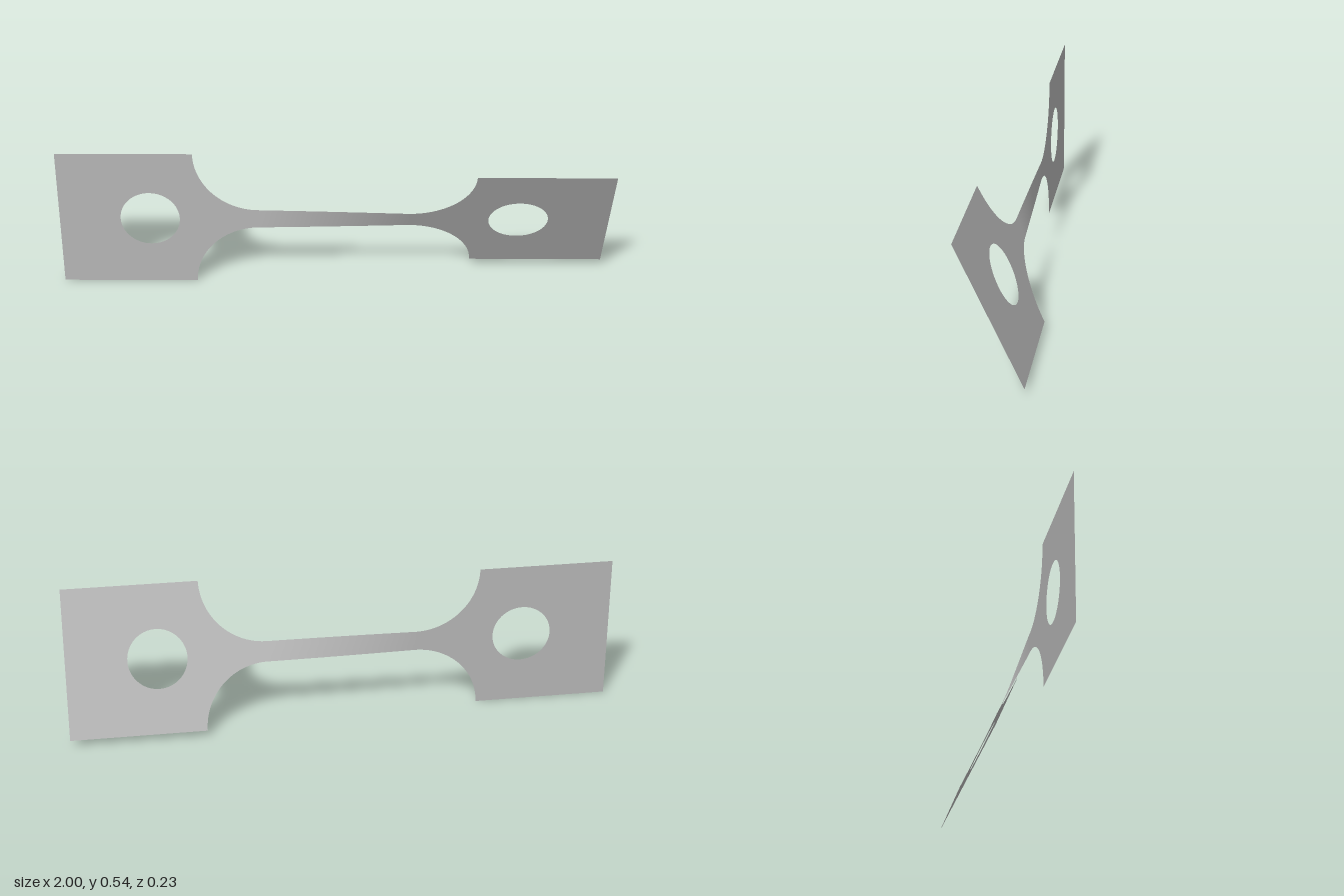
import * as THREE from 'three';

const MID_Y = 0.272;      // height of the long axis
const HALF_H = 0.271;     // half height of the end plates
const NECK_H = 0.037;     // half height of the neck
const NECK_X = 0.273;     // half length of the twisted neck
const FILLET = HALF_H - NECK_H;
const TWIST = THREE.MathUtils.degToRad(25);

// End plate pointing along +x: square end, concave fillets and a round hole
function plateGeometry() {
  const s = new THREE.Shape();
  s.moveTo(NECK_X, -NECK_H);
  s.absarc(NECK_X, -HALF_H, FILLET, Math.PI / 2, 0, true);
  s.lineTo(1, -HALF_H);
  s.lineTo(1, HALF_H);
  s.lineTo(NECK_X + FILLET, HALF_H);
  s.absarc(NECK_X, HALF_H, FILLET, 0, -Math.PI / 2, true);
  s.closePath();
  const hole = new THREE.Path();
  hole.absarc(0.67, 0, 0.108, 0, Math.PI * 2, true);
  s.holes.push(hole);
  return new THREE.ShapeGeometry(s, 32);
}

// Narrow strip turned steadily about its long axis
function neckGeometry() {
  const g = new THREE.PlaneGeometry(NECK_X * 2, NECK_H * 2, 48, 4);
  const p = g.attributes.position;
  for (let i = 0; i < p.count; i++) {
    const x = p.getX(i), y = p.getY(i);
    const a = TWIST * (x + NECK_X) / (2 * NECK_X);
    p.setXYZ(i, x, y * Math.cos(a), y * Math.sin(a));
  }
  g.computeVertexNormals();
  return g;
}

export function createModel() {
  const metal = new THREE.MeshStandardMaterial({ color: 0xb8b8b8, side: THREE.DoubleSide });
  metal.name = 'grey metal';
  const group = new THREE.Group();
  group.name = 'twistedStrap';
  const add = (name, geometry) => {
    const mesh = new THREE.Mesh(geometry, metal);
    mesh.name = name;
    mesh.position.y = MID_Y;
    group.add(mesh);
  };
  add('rightPlate', plateGeometry().rotateZ(Math.PI));
  add('twistedNeck', neckGeometry());
  add('leftPlate', plateGeometry().rotateX(TWIST));
  return group;
}
